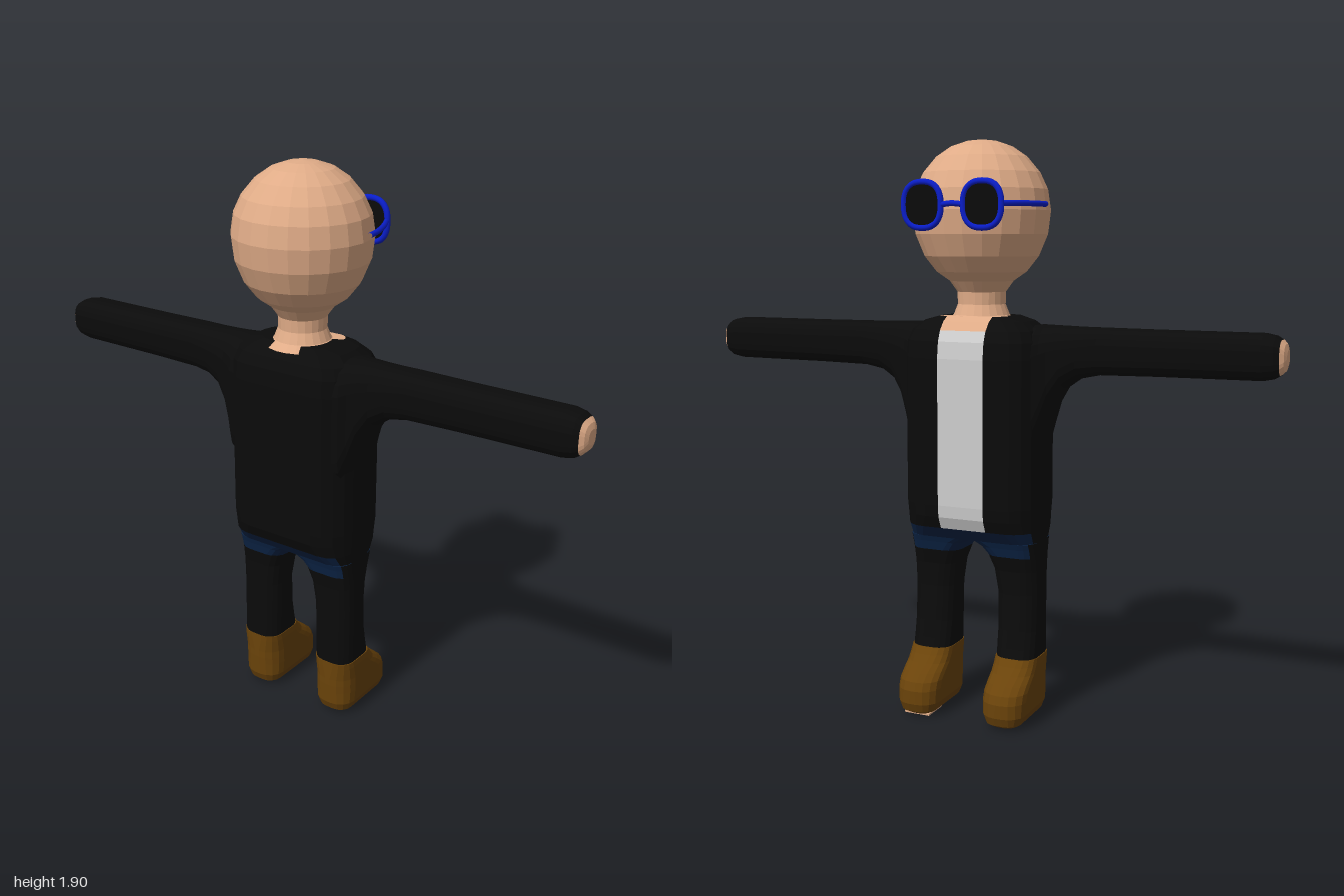
import * as THREE from 'three';

const mat = (name, color) => Object.assign(new THREE.MeshStandardMaterial({ color }), { name });

// Rounded rectangle outline in two axes; two extra points sit on each u-facing edge.
function outline(u0, u1, v0, v1, r, strip = 0.08) {
  r = Math.min(r, (u1 - u0) / 2, (v1 - v0) / 2);
  const pts = [], vm = (v0 + v1) / 2, n = 4;
  const s = Math.min(strip, (v1 - v0) / 2 - r);
  const corner = (cu, cv, start) => {
    for (let i = 0; i <= n; i++) {
      const a = start + (i / n) * Math.PI / 2;
      pts.push([cu + r * Math.cos(a), cv + r * Math.sin(a)]);
    }
  };
  corner(u1 - r, v1 - r, 0);
  corner(u0 + r, v1 - r, Math.PI / 2);
  pts.push([u0, vm + s], [u0, vm - s]);
  corner(u0 + r, v0 + r, Math.PI);
  corner(u1 - r, v0 + r, Math.PI * 1.5);
  pts.push([u1, vm - s], [u1, vm + s]);
  return pts;
}

// Skin a list of rings with flat faces and closed ends; pick(centre, normal) gives a material index.
function loft(name, rings, materials, pick = () => 0) {
  const n = rings[0].length, tris = [];
  for (let i = 0; i < rings.length - 1; i++) {
    for (let j = 0; j < n; j++) {
      const k = (j + 1) % n;
      const [a, b, c, d] = [rings[i][j], rings[i][k], rings[i + 1][k], rings[i + 1][j]];
      tris.push([a, b, c, a, c, d]);
    }
  }
  const mid = (ring) => ring.reduce((s, p) => s.add(p), new THREE.Vector3()).divideScalar(n);
  const first = rings[0], last = rings[rings.length - 1], m0 = mid(first), m1 = mid(last);
  for (let j = 0; j < n; j++) {
    const k = (j + 1) % n;
    tris.push([m0, first[k], first[j]], [m1, last[j], last[k]]);
  }
  // Turn all faces outward
  let volume = 0;
  for (const t of tris) {
    for (let q = 0; q < t.length; q += 3) volume += t[q].dot(t[q + 1].clone().cross(t[q + 2]));
  }
  const buckets = materials.map(() => []);
  for (const t of tris) {
    if (volume < 0) t.reverse();
    const centre = t.reduce((s, p) => s.add(p), new THREE.Vector3()).divideScalar(t.length);
    const normal = new THREE.Vector3();
    for (let q = 0; q < t.length; q += 3) {
      normal.add(t[q + 1].clone().sub(t[q]).cross(t[q + 2].clone().sub(t[q])));
    }
    buckets[pick(centre, normal.normalize())].push(...t);
  }
  const geo = new THREE.BufferGeometry().setFromPoints(buckets.flat());
  let start = 0;
  buckets.forEach((b, i) => { geo.addGroup(start, b.length, i); start += b.length; });
  geo.computeVertexNormals();
  const mesh = new THREE.Mesh(geo, materials);
  mesh.name = name;
  return mesh;
}

export function createModel() {
  const skin = mat('skin', 0xdfab87), black = mat('black', 0x0b0b0b), white = mat('shirt white', 0xcfcfcf);
  const navy = mat('trouser blue', 0x0c2446), brown = mat('shoe brown', 0x6a430a), blue = mat('frame blue', 0x0a1ecb);
  const model = new THREE.Group();
  model.name = 'figure';
  const add = (name, geo, material, parent = model) => {
    const mesh = new THREE.Mesh(geo, material);
    mesh.name = name;
    parent.add(mesh);
    return mesh;
  };

  // Head and neck
  const profile = [[0.12, 1.315], [0.093, 1.335], [0.079, 1.37], [0.08, 1.41], [0.105, 1.445], [0.148, 1.475],
    [0.187, 1.525], [0.216, 1.595], [0.225, 1.67], [0.215, 1.737], [0.19, 1.79], [0.148, 1.84],
    [0.1, 1.873], [0.05, 1.89], [0, 1.896]].map(([x, y]) => new THREE.Vector2(x, y));
  const headGeo = new THREE.LatheGeometry(profile, 22).toNonIndexed();
  headGeo.computeVertexNormals();
  add('headAndNeck', headGeo, skin).position.x = -0.01;

  // Torso: y, x back, x front, half width, corner radius
  const torsoRings = [
    [0.6, -0.1, 0.105, 0.224, 0.06], [0.64, -0.132, 0.138, 0.226, 0.08], [0.68, -0.148, 0.156, 0.228, 0.1],
    [0.72, -0.152, 0.16, 0.23, 0.1], [0.95, -0.152, 0.16, 0.23, 0.1], [1.2, -0.152, 0.16, 0.23, 0.1],
    [1.255, -0.147, 0.153, 0.228, 0.1], [1.29, -0.133, 0.138, 0.215, 0.1], [1.318, -0.11, 0.112, 0.18, 0.09],
    [1.333, -0.09, 0.085, 0.12, 0.04],
  ].map(([y, x0, x1, h, r]) => outline(x0, x1, -h, h, r).map(([x, z]) => new THREE.Vector3(x, y, z)));
  model.add(loft('torso', torsoRings, [black, white, skin, navy], (c, n) => {
    if (c.y < 0.64) return Math.abs(n.z) > 0.8 ? 0 : 3;
    if (Math.abs(c.z) > 0.079 || c.x < 0.03) return 0;
    return c.y > 1.29 ? 2 : 1;
  }));

  for (const s of [1, -1]) {
    const side = s > 0 ? 'left' : 'right';

    // Arm: z, y low, y high, half depth, corner radius
    const armRings = [
      [0.14, 0.86, 1.3, 0.12, 0.1], [0.215, 0.89, 1.308, 0.115, 0.1], [0.237, 0.96, 1.308, 0.1, 0.09],
      [0.262, 1.04, 1.307, 0.09, 0.08], [0.3, 1.105, 1.306, 0.08, 0.07], [0.35, 1.14, 1.304, 0.074, 0.06],
      [0.42, 1.155, 1.303, 0.07, 0.05], [0.6, 1.158, 1.302, 0.068, 0.05], [0.93, 1.16, 1.302, 0.067, 0.05],
      [0.965, 1.167, 1.295, 0.061, 0.045], [0.982, 1.178, 1.284, 0.052, 0.035],
      [0.994, 1.19, 1.272, 0.041, 0.03], [1.0, 1.208, 1.254, 0.024, 0.02],
    ].map(([z, y0, y1, h, r]) => outline(-0.01 - h, -0.01 + h, y0, y1, r, 0.01)
      .map(([x, y]) => new THREE.Vector3(x, y, s * z)));
    model.add(loft(side + 'Arm', armRings, [black, skin], (c) => (Math.abs(c.z) > 0.974 ? 1 : 0)));

    // Leg: y, x back, x front, inner z, outer z, corner radius
    const upright = ([y, x0, x1, z0, z1, r]) => outline(x0, x1, z0, z1, r, 0.03)
      .map(([x, z]) => new THREE.Vector3(x, y, s * z));
    const legRings = [
      [0.19, -0.077, 0.098, 0.085, 0.225, 0.05], [0.24, -0.079, 0.085, 0.083, 0.225, 0.05],
      [0.3, -0.078, 0.074, 0.082, 0.225, 0.05], [0.42, -0.077, 0.067, 0.079, 0.225, 0.05],
      [0.5, -0.08, 0.074, 0.068, 0.225, 0.05], [0.55, -0.086, 0.086, 0.05, 0.225, 0.05],
      [0.58, -0.093, 0.096, 0.028, 0.225, 0.05], [0.601, -0.1, 0.105, -0.005, 0.224, 0.05],
    ].map(upright);
    model.add(loft(side + 'Leg', legRings, [black, navy],
      (c, n) => (c.y > 0.548 && s * n.z < 0.8 ? 1 : 0)));

    // Shoe
    const shoeRings = [
      [0.003, -0.04, 0.175, 0.115, 0.195, 0.03], [0.016, -0.065, 0.198, 0.095, 0.215, 0.045],
      [0.045, -0.077, 0.209, 0.083, 0.227, 0.06], [0.09, -0.079, 0.209, 0.081, 0.229, 0.065],
      [0.118, -0.08, 0.198, 0.081, 0.229, 0.065], [0.142, -0.08, 0.17, 0.081, 0.229, 0.065],
      [0.165, -0.08, 0.135, 0.081, 0.229, 0.06], [0.188, -0.08, 0.112, 0.081, 0.229, 0.055],
      [0.21, -0.08, 0.096, 0.082, 0.228, 0.05],
    ].map(upright);
    model.add(loft(side + 'Shoe', shoeRings, [brown]));
  }

  // Bare patch under the left toe
  add('solePatch', new THREE.BoxGeometry(0.1, 0.006, 0.09), skin).position.set(0.125, 0.003, 0.155);

  // Glasses: rims, dark lenses, bridge and temples
  const glasses = new THREE.Group();
  glasses.name = 'glasses';
  model.add(glasses);
  const V = (x, y, z) => new THREE.Vector3(x, y, z);
  const bar = (name, pts) => add(name,
    new THREE.TubeGeometry(new THREE.CatmullRomCurve3(pts), 12, 0.009, 8), blue, glasses);
  const rim = [];
  for (let i = 0; i < 28; i++) {
    const a = (i / 28) * Math.PI * 2, round = (t) => Math.sign(t) * Math.abs(t) ** 0.8;
    rim.push([0.064 * round(Math.cos(a)), 0.07 * round(Math.sin(a))]);
  }
  for (const s of [1, -1]) {
    const side = s > 0 ? 'left' : 'right', zc = s * 0.102 - 0.004;
    const curve = new THREE.CatmullRomCurve3(rim.map(([z, y]) => V(0.221, 1.684 + y, zc + z)), true);
    add(side + 'Rim', new THREE.TubeGeometry(curve, 40, 0.01, 8, true), blue, glasses);
    const lensShape = new THREE.Shape(rim.map(([z, y]) => new THREE.Vector2(z, y)));
    const lens = add(side + 'Lens',
      new THREE.ExtrudeGeometry(lensShape, { depth: 0.008, bevelEnabled: false }), black, glasses);
    lens.rotation.y = Math.PI / 2;
    lens.position.set(0.217, 1.684, zc);
    bar(side + 'Temple', [V(0.221, 1.686, s * 0.163 - 0.005), V(0.15, 1.688, s * 0.198 - 0.005),
      V(0.08, 1.688, s * 0.222 - 0.005), V(0.018, 1.688, s * 0.231 - 0.003)]);
  }
  bar('bridge', [V(0.221, 1.684, -0.045), V(0.223, 1.688, -0.004), V(0.221, 1.684, 0.037)]);

  return model;
}
